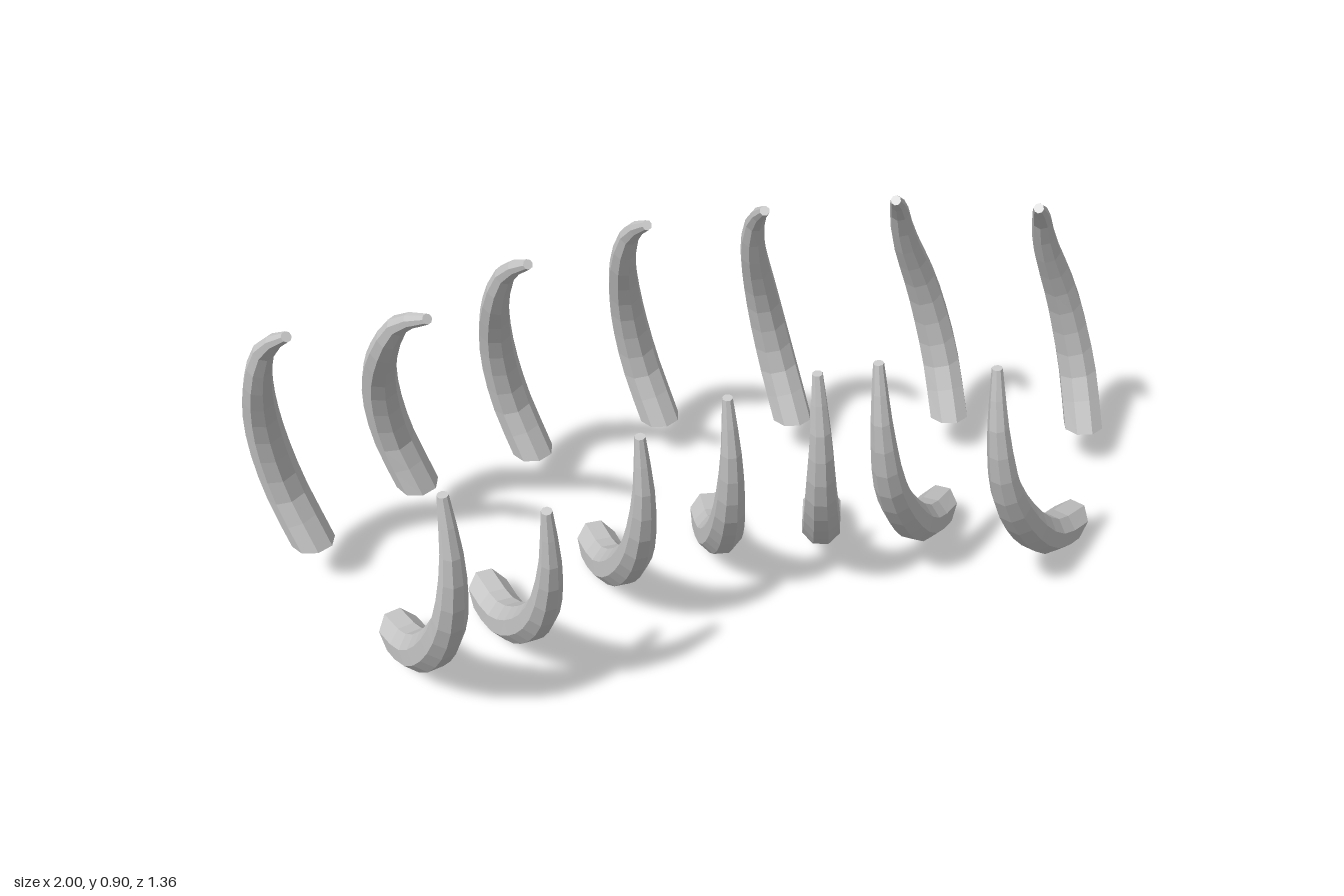
import * as THREE from 'three';

const SIDES = 8, RINGS = 12;

// Centre lines, base to tip: u along the plan direction, y up, v sideways
// cut: slope of the slanted open base in the same axes
const UPPER = {
  path: [[0, 0, 0], [-0.02, 0.155, -0.047], [0.035, 0.365, -0.075], [0.165, 0.585, -0.069], [0.238, 0.695, -0.044], [0.333, 0.77, 0]],
  cut: [-0.15, 0, -0.25],
};
const LOWER = {
  path: [[0, 0, 0], [0.12, 0.04, 0.004], [0.255, 0.145, 0.01], [0.4, 0.33, 0.012], [0.466, 0.52, 0.01], [0.48, 0.69, 0]],
  cut: [0, -0.75, 0],
};

// Base and tip of each rib
const UPPER_RIBS = [
  [[-0.83, 0.135, -0.6], [-0.985, 0.9, -0.3]],
  [[-0.525, 0.165, -0.6], [-0.705, 0.875, -0.2]],
  [[-0.19, 0.125, -0.57], [-0.395, 0.87, -0.255]],
  [[0.155, 0.125, -0.47], [-0.085, 0.87, -0.21]],
  [[0.41, 0.13, -0.23], [0.135, 0.9, -0.05]],
  [[0.72, 0.135, 0.045], [0.395, 0.9, 0.12]],
  [[0.94, 0.135, 0.32], [0.61, 0.9, 0.37]],
];
const LOWER_RIBS = [
  [[-0.84, 0.085, -0.22], [-0.98, 0.775, 0.23]],
  [[-0.58, 0.055, -0.235], [-0.777, 0.665, 0.285]],
  [[-0.265, 0.055, -0.215], [-0.5, 0.705, 0.25]],
  [[0.02, 0.055, -0.12], [-0.28, 0.72, 0.28]],
  [[0.218, 0.085, 0.08], [-0.13, 0.775, 0.4]],
  [[0.435, 0.085, 0.27], [-0.002, 0.775, 0.457]],
  [[0.63, 0.085, 0.53], [0.17, 0.775, 0.643]],
];

// Tapered eight-sided sweep: open slanted base, closed tip
function ribGeometry({ path, cut }, base, tip) {
  // Yaw and pitch the centre line so that it runs from base to tip
  const dx = tip[0] - base[0], dz = tip[2] - base[2], len = Math.hypot(dx, dz);
  const end = path[path.length - 1];
  const pitch = Math.atan2(tip[1] - base[1], len) - Math.atan2(end[1], end[0]);
  const c = Math.cos(pitch), s = Math.sin(pitch);
  const toWorld = ([u, y, v]) => {
    const h = u * c - y * s;
    return new THREE.Vector3((h * dx + v * dz) / len, u * s + y * c, (h * dz - v * dx) / len);
  };
  const origin = new THREE.Vector3(...base);
  const curve = new THREE.CatmullRomCurve3(path.map((p) => toWorld(p).add(origin)));
  const slope = toWorld(cut);

  const { tangents, normals, binormals } = curve.computeFrenetFrames(RINGS);
  const positions = [], index = [];
  const addRing = (i, r) => {
    const p = curve.getPointAt(i / RINGS);
    for (let j = 0; j < SIDES; j++) {
      const a = ((j + 0.5) / SIDES) * Math.PI * 2;
      const offset = normals[i].clone().multiplyScalar(r * Math.cos(a)).addScaledVector(binormals[i], r * Math.sin(a));
      if (i === 0) offset.addScaledVector(tangents[0], offset.dot(slope));
      offset.add(p);
      positions.push(offset.x, offset.y, offset.z);
    }
  };
  for (let i = 0; i <= RINGS; i++) addRing(i, 0.012 + 0.039 * (1 - (i / RINGS) ** 2));
  addRing(RINGS, 0);
  for (let i = 0; i <= RINGS; i++) {
    for (let j = 0; j < SIDES; j++) {
      const a = i * SIDES + j, b = i * SIDES + ((j + 1) % SIDES);
      index.push(a, b, a + SIDES);
      if (i < RINGS) index.push(b, b + SIDES, a + SIDES);
    }
  }
  const geometry = new THREE.BufferGeometry();
  geometry.setAttribute('position', new THREE.Float32BufferAttribute(positions, 3));
  geometry.setIndex(index);
  const flat = geometry.toNonIndexed();
  flat.computeVertexNormals();
  return flat;
}

export function createModel() {
  const model = new THREE.Group();
  model.name = 'ribCage';
  const material = new THREE.MeshStandardMaterial({ color: 0xcccccc, flatShading: true, side: THREE.DoubleSide });
  const addRow = (name, shape, ribs) => {
    const row = new THREE.Group();
    row.name = name + 'Row';
    ribs.forEach(([base, tip], i) => {
      const rib = new THREE.Mesh(ribGeometry(shape, base, tip), material);
      rib.name = name + (i + 1);
      row.add(rib);
    });
    model.add(row);
  };
  addRow('upperRib', UPPER, UPPER_RIBS);
  addRow('lowerRib', LOWER, LOWER_RIBS);
  return model;
}
